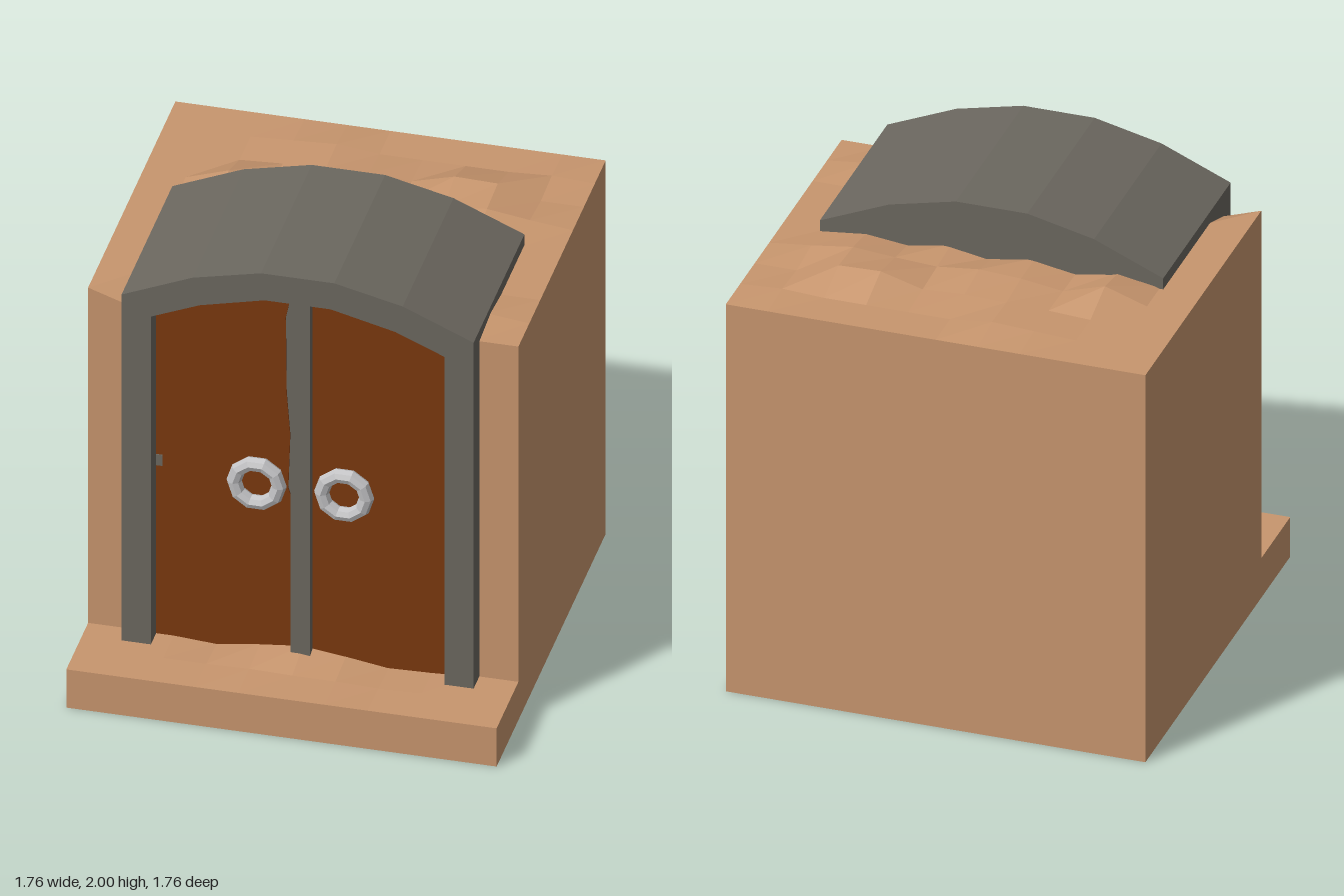
import * as THREE from 'three';

const material = (name, color) => new THREE.MeshStandardMaterial({ name, color });

export function createModel() {
  const group = new THREE.Group();
  const sand = material('sandstone', 0xc8966e);
  const stone = material('grey stone', 0x6b675f);
  const wood = material('brown wood', 0x7a380e);
  const metal = material('pale metal', 0xc2c2c4);

  const add = (name, geometry, mat, x = 0, y = 0, z = 0) => {
    const mesh = new THREE.Mesh(geometry, mat);
    mesh.name = name;
    mesh.position.set(x, y, z);
    group.add(mesh);
    return mesh;
  };

  // Faceted block of ground: a bumpy top on a regular grid, straight sides and a flat bottom
  const STEP = 0.176, N = 10;
  const terrain = (rowStart, rowEnd, level, bumps) => {
    const pos = [];
    const gx = (i) => -0.88 + i * STEP;
    const top = (i, j) => [gx(i), level + (bumps[`${i},${j}`] || 0), gx(j)];
    const low = (i, j) => [gx(i), 0, gx(j)];
    const quad = (a, b, c, d) => pos.push(...a, ...b, ...c, ...a, ...c, ...d);
    for (let j = rowStart; j < rowEnd; j++) {
      for (let i = 0; i < N; i++) {
        quad(top(i, j + 1), top(i + 1, j + 1), top(i + 1, j), top(i, j));
        // swap the cell to the diagonal from front left to back right
        pos.length -= 18;
        pos.push(...top(i, j + 1), ...top(i + 1, j), ...top(i, j));
        pos.push(...top(i, j + 1), ...top(i + 1, j + 1), ...top(i + 1, j));
      }
      quad(low(0, j), low(0, j + 1), top(0, j + 1), top(0, j));
      quad(low(N, j + 1), low(N, j), top(N, j), top(N, j + 1));
    }
    for (let i = 0; i < N; i++) {
      quad(low(i, rowEnd), low(i + 1, rowEnd), top(i + 1, rowEnd), top(i, rowEnd));
      quad(low(i + 1, rowStart), low(i, rowStart), top(i, rowStart), top(i + 1, rowStart));
    }
    quad(low(0, rowStart), low(N, rowStart), low(N, rowEnd), low(0, rowEnd));
    const geometry = new THREE.BufferGeometry();
    geometry.setAttribute('position', new THREE.Float32BufferAttribute(pos, 3));
    geometry.computeVertexNormals();
    return geometry;
  };

  // Rock block with hills behind the arch, and the step in front of the doors
  add('rockBlock', terrain(0, 8, 1.76, {
    '7,2': 0.06, '8,2': 0.055, '6,2': 0.01, '7,3': 0.03, '8,3': 0.045, '9,3': 0.02, '9,1': 0.01,
    '2,3': 0.06, '3,3': 0.005, '4,3': 0.03, '5,3': 0.04, '3,2': 0.01, '4,2': 0.015, '5,2': 0.02,
    '3,1': 0.01, '4,1': 0.02, '6,3': 0.02, '2,4': 0.03, '4,4': 0.03, '6,4': 0.03, '8,4': 0.02,
    '9,7': 0.02, '1,8': -0.06,
  }), sand);
  add('frontStep', terrain(8, 10, 0.18, {
    '5,8': 0.035, '4,8': 0.015, '6,8': 0.012, '3,8': -0.012, '7,8': -0.015, '8,8': -0.01,
    '4,9': 0.004, '7,9': -0.006,
  }), sand);

  // Arch outlines, drawn from right to left over the top
  const mirror = (half) => [...half, ...half.map(([x, y]) => [-x, y]).reverse()];
  const outer = [[0.72, 1.81], [0.43, 1.935], [0.15, 2]];
  const inner = [[0.6, 1.725], [0.4, 1.81], [0.135, 1.875]];
  const shape = (points) => new THREE.Shape(points.map(([x, y]) => new THREE.Vector2(x, y)));
  const slab = (points, depth) => new THREE.ExtrudeGeometry(shape(points), { depth, bevelEnabled: false });

  // Solid vault over the block
  add('archVault', slab(mirror([[0.72, 1.6], ...outer]), 0.7), stone, 0, 0, -0.2);

  // Door frame with its open doorway
  const frame = [...mirror([[0.72, 0.12], ...outer]), ...mirror([[0.6, 0.12], ...inner]).reverse()];
  add('doorFrame', slab(frame, 0.14), stone, 0, 0, 0.48);

  // Backing behind the doors and the central post
  add('doorBacking', slab(mirror([[0.61, 0.1], [0.61, 1.72], [0.4, 1.82], [0.135, 1.88]]), 0.05), stone, 0, 0, 0.48);
  add('centrePost', new THREE.BoxGeometry(0.08, 1.74, 0.08), stone, 0, 1.01, 0.538);

  // Two door leaves, the right one with a worn inner edge
  const leaf = [[0.6, 0.1], ...inner];
  add('leftDoor', slab([...leaf, [0.02, 1.875], [0.02, 0.1]], 0.006), wood, 0, 0, 0.529);
  const worn = [[0.045, 1.875], [0.07, 1.75], [0.067, 1.4], [0.052, 1.2], [0.06, 0.95], [0.03, 0.85], [0.03, 0.1]];
  add('rightDoor', slab([...leaf, ...worn].map(([x, y]) => [-x, y]).reverse(), 0.006), wood, 0, 0, 0.529);
  add('hinge', new THREE.BoxGeometry(0.03, 0.05, 0.02), stone, -0.588, 1, 0.53);

  // Ring handles
  const ring = new THREE.TorusGeometry(0.092, 0.031, 8, 10).toNonIndexed();
  ring.computeVertexNormals();
  add('leftRingHandle', ring, metal, 0.173, 0.963, 0.55);
  add('rightRingHandle', ring, metal, -0.185, 0.963, 0.55);

  return group;
}
